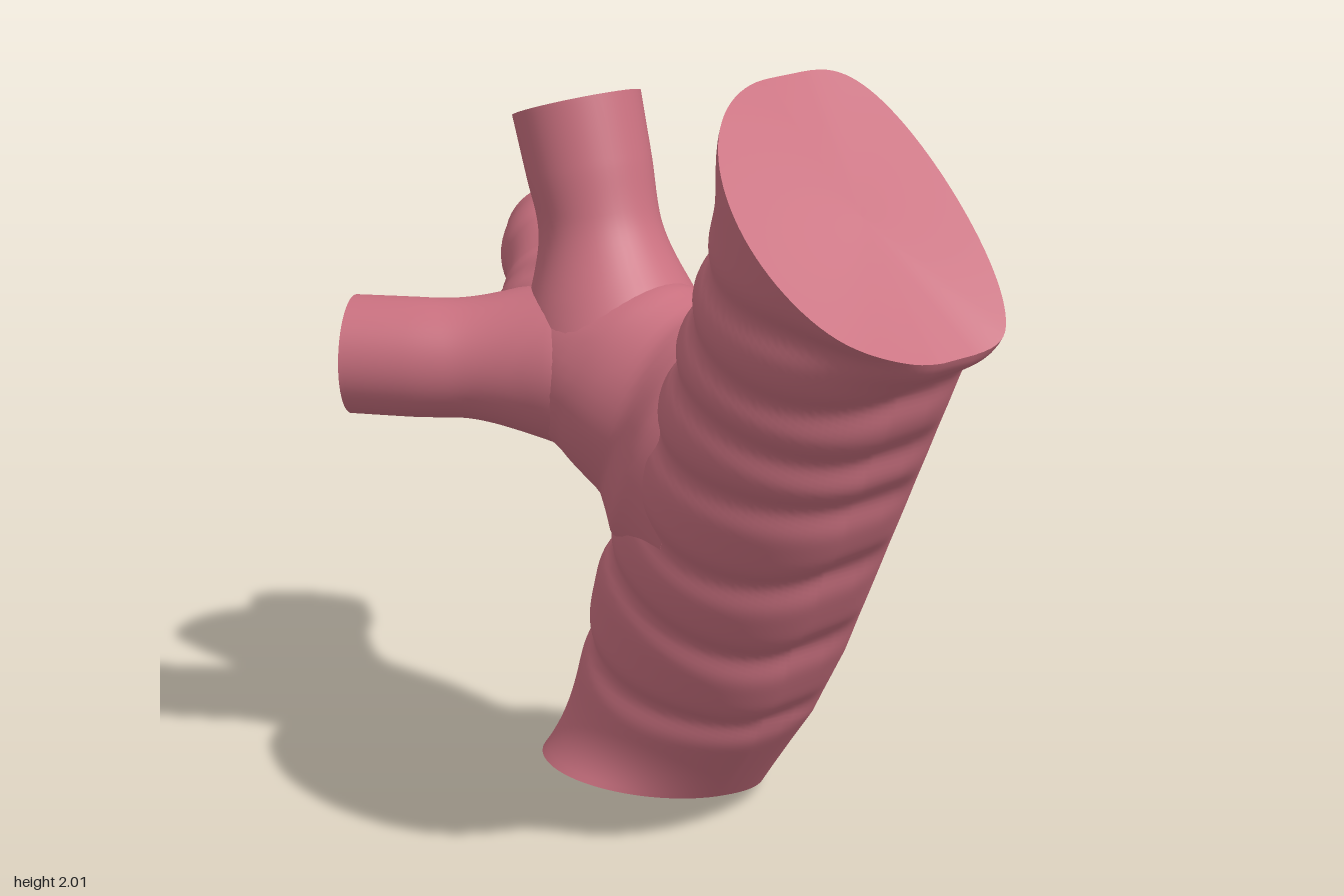
import * as THREE from 'three';

const material = new THREE.MeshStandardMaterial({ color: 0xc9707f, side: THREE.DoubleSide });
const V3 = (x, y, z) => new THREE.Vector3(x, y, z);
const lerp = THREE.MathUtils.lerp;
const bump = (x, w) => Math.exp(-((x / w) ** 2));

// Ends of the main tube's axis
const BOTTOM = V3(-0.315, 0.08, -0.19), TOP = V3(0.645, 1.74, 0.07);

// Limb stations: [x, y, z, radius, depth radius]
const LIMBS = {
  sideTrunk: [
    [0.17, 0.98, -0.07, 0.32, 0.21], [0.05, 1.035, -0.065, 0.315, 0.21],
    [-0.09, 1.11, -0.05, 0.285, 0.195], [-0.27, 1.19, -0.01, 0.185, 0.175],
    [-0.4, 1.22, 0, 0.14, 0.145], [-0.52, 1.23, 0.02, 0.08, 0.08]],
  upperBranch: [
    [-0.2, 1.16, -0.03, 0.18], [-0.28, 1.34, -0.04, 0.165],
    [-0.345, 1.51, -0.05, 0.142], [-0.39, 1.63, -0.055, 0.15], [-0.445, 1.785, -0.06, 0.155]],
  backBranch: [
    [-0.26, 1.2, 0.04, 0.13], [-0.42, 1.24, -0.04, 0.14],
    [-0.56, 1.28, -0.125, 0.14], [-0.69, 1.31, -0.215, 0.15], [-0.82, 1.33, -0.315, 0.15]],
  frontBranch: [
    [-0.22, 1.18, -0.04, 0.12], [-0.37, 1.185, 0.1, 0.142],
    [-0.5, 1.19, 0.21, 0.14], [-0.61, 1.19, 0.305, 0.144], [-0.73, 1.19, 0.405, 0.143]]
};

// Skin a stack of closed rings with smooth sides and crisp ends
function loft(name, rings) {
  const n = rings[0].length, pos = [], idx = [];
  rings.forEach(r => r.forEach(p => pos.push(p.x, p.y, p.z)));
  for (let i = 0; i < rings.length - 1; i++) {
    for (let j = 0; j < n; j++) {
      const a = i * n + j, b = i * n + (j + 1) % n;
      idx.push(a, b, a + n, b, b + n, a + n);
    }
  }
  const cap = (ring, flip) => {
    const base = pos.length / 3, c = V3(0, 0, 0);
    ring.forEach(p => { pos.push(p.x, p.y, p.z); c.addScaledVector(p, 1 / n); });
    pos.push(c.x, c.y, c.z);
    for (let j = 0; j < n; j++) {
      const a = base + j, b = base + (j + 1) % n;
      idx.push(base + n, flip ? b : a, flip ? a : b);
    }
  };
  cap(rings[0], true);
  cap(rings[rings.length - 1], false);
  const g = new THREE.BufferGeometry();
  g.setAttribute('position', new THREE.Float32BufferAttribute(pos, 3));
  g.setIndex(idx);
  g.computeVertexNormals();
  const mesh = new THREE.Mesh(g, material);
  mesh.name = name;
  return mesh;
}

// Axes across a direction: V towards the front, U towards the side
function crossAxes(T) {
  const V = V3(0, 0, 1).addScaledVector(T, -T.z).normalize();
  return [V, T.clone().cross(V)];
}

// Main windpipe: ribbed front, flat back, obliquely cut ends
function mainTube() {
  const T = TOP.clone().sub(BOTTOM), L = T.length();
  T.normalize();
  const [V, U] = crossAxes(T);
  const nBottom = V3(0, 0.97, -0.25), nTop = V3(0.707, 0.707, 0);
  const grooves = [0.5, 0.79, 1.05, 1.3, 1.48, 1.65, 1.84];

  // Sideways offset of the wall at angle a (0 = front), fraction t and length s
  const offset = (a, t, s) => {
    const c = Math.cos(a), sn = Math.sin(a);
    let rib = 0;
    grooves.forEach((g, k) => {
      const center = g - 0.06 + 0.06 * sn + 0.015 * Math.sin(2 * a + k * 2);
      rib -= 0.022 * bump(s - center, 0.05);
    });
    rib *= THREE.MathUtils.smoothstep(c, -0.5, 0.1);
    const swell = sn < 0 ? 0.04 * bump(s - 0.68, 0.28) : 0;
    const w = lerp(0.238, 0.287, Math.min(1, t * 5)) + 0.07 * bump(1 - t, 0.05) + rib + swell;
    const front = lerp(0.232, 0.3, t) + 0.1 * Math.exp(-t / 0.05) + rib;
    const back = lerp(0.305, 0.26, t);
    const power = lerp(0.8, 0.4, Math.min(1, t * 3));
    const v = c > 0 ? front * c : -back * Math.abs(c) ** power;
    return V.clone().multiplyScalar(v).addScaledVector(U, w * sn);
  };
  const reach = (P, o, normal) => P.clone().sub(BOTTOM).sub(o).dot(normal) / T.dot(normal);

  const rings = [], rows = 120, n = 96;
  for (let i = 0; i <= rows; i++) {
    const t = i / rows, ring = [];
    for (let j = 0; j < n; j++) {
      const a = j / n * Math.PI * 2;
      const s0 = reach(BOTTOM, offset(a, 0, 0), nBottom);
      // The back lip of the upper end stands slightly higher
      const s1 = reach(TOP, offset(a, 1, L), nTop) + 0.035 * Math.max(0, -Math.cos(a));
      const s = lerp(s0, s1, t);
      ring.push(BOTTOM.clone().add(offset(a, t, s)).addScaledVector(T, s));
    }
    rings.push(ring);
  }
  return loft('mainTube', rings);
}

const curvesOf = stations => [
  new THREE.CatmullRomCurve3(stations.map(s => V3(s[0], s[1], s[2]))),
  new THREE.CatmullRomCurve3(stations.map(s => V3(s[3], s[4] ?? s[3], 0)))
];

// Balls filling every part, used to find how close a neighbour is
function fillBalls() {
  const balls = [];
  for (let i = 0; i <= 24; i++) {
    const t = i / 24;
    balls.push({ owner: 'mainTube', c: BOTTOM.clone().lerp(TOP, t), r: 0.27 });
    for (const [owner, stations] of Object.entries(LIMBS)) {
      const [path, radii] = curvesOf(stations), r = radii.getPoint(t);
      balls.push({ owner, c: path.getPoint(t), r: Math.min(r.x, r.y) });
    }
  }
  return balls;
}

// Limb that swells into a fillet wherever it nears another part
function limb(name, stations, balls) {
  const [path, radii] = curvesOf(stations);
  const others = balls.filter(b => b.owner !== name);
  const reach = 0.2, rings = [], rows = 48, n = 48;
  for (let i = 0; i <= rows; i++) {
    const t = i / rows, P = path.getPoint(t), r = radii.getPoint(t);
    const [V, U] = crossAxes(path.getTangent(t));
    const ring = [];
    for (let j = 0; j < n; j++) {
      const a = j / n * Math.PI * 2;
      const o = V.clone().multiplyScalar(r.y * Math.cos(a)).addScaledVector(U, r.x * Math.sin(a));
      const p = P.clone().add(o);
      const gap = Math.min(...others.map(b => p.distanceTo(b.c) - b.r));
      const near = 1 - THREE.MathUtils.clamp(gap / reach, 0, 1);
      ring.push(p.addScaledVector(o.normalize(), reach / 4 * near * near));
    }
    rings.push(ring);
  }
  return loft(name, rings);
}

export function createModel() {
  const group = new THREE.Group();
  group.name = 'branchingAirway';
  const balls = fillBalls();
  group.add(mainTube());
  for (const [name, stations] of Object.entries(LIMBS)) group.add(limb(name, stations, balls));
  return group;
}
